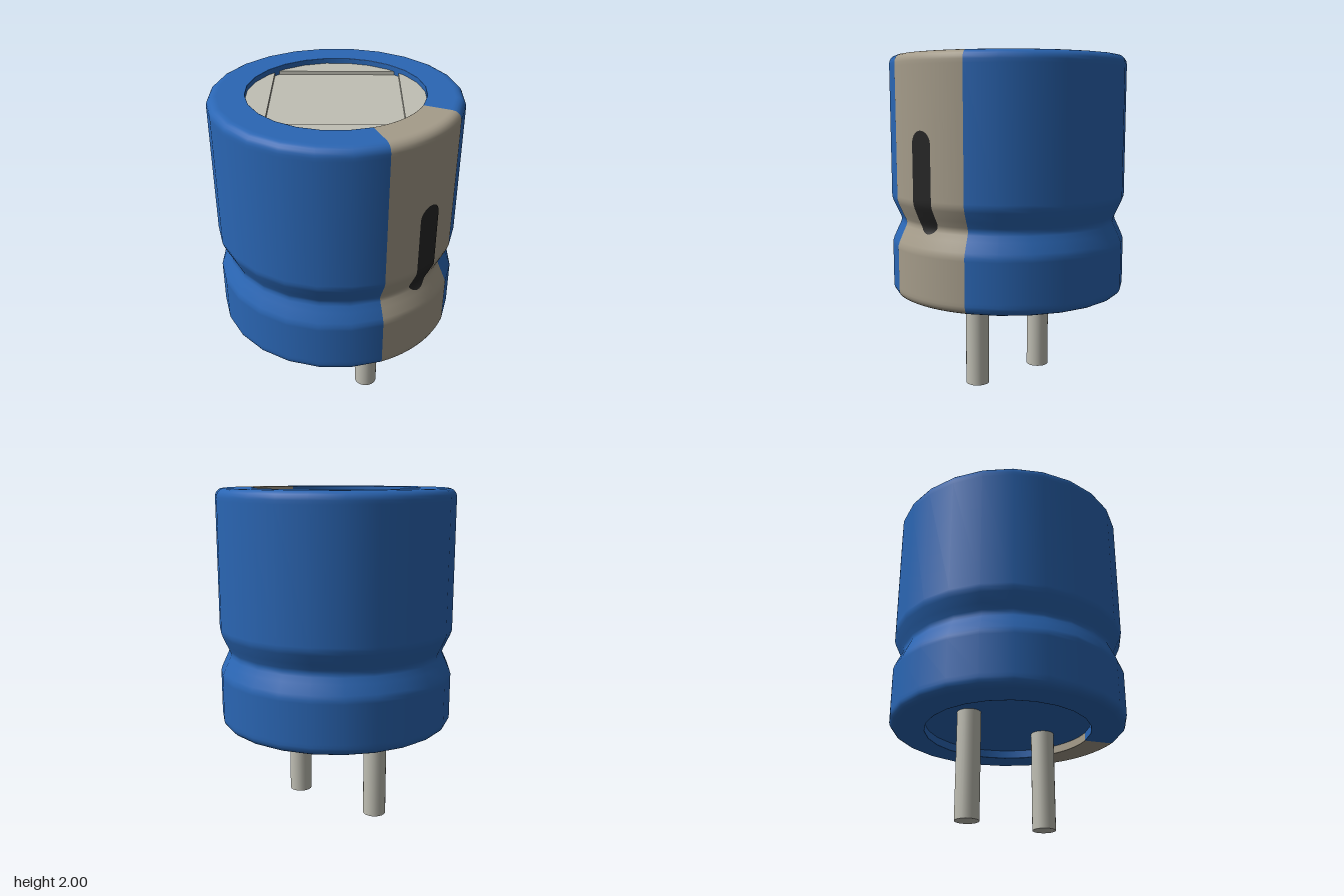
import * as THREE from 'three';

const material = (color, side = THREE.FrontSide) => new THREE.MeshStandardMaterial({ color, side });
const V = (x, y) => new THREE.Vector2(x, y);
const R = 0.71, HOLE = 0.5, BOTTOM = 0.58, TOP = 2, FILLET = 0.05;

// Pinched band around the can, as (radius, height) from bottom to top
const groove = [
  V(R, 0.9), V(0.702, 0.925), V(0.677, 0.98), V(0.66, 1.015), V(0.654, 1.035),
  V(0.66, 1.055), V(0.677, 1.09), V(0.702, 1.145), V(R, 1.17),
];

// Outer radius of the sleeve at a height
function radiusAt(y) {
  for (let i = 1; i < groove.length; i++) {
    const a = groove[i - 1], b = groove[i];
    if (y >= a.y && y <= b.y) return a.x + (b.x - a.x) * (y - a.y) / (b.y - a.y);
  }
  return R;
}

// Sleeve profile: bottom lip, rounded edge, groove, rounded edge, top lip
function sleeveProfile() {
  const pts = [V(HOLE, 0.63), V(HOLE, BOTTOM + 0.003), V(HOLE, BOTTOM), V(HOLE + 0.003, BOTTOM), V(R - FILLET - 0.01, BOTTOM)];
  const corner = (cy, from) => {
    for (let i = 0; i <= 5; i++) {
      const a = from + (i / 5) * Math.PI / 2;
      pts.push(V(R - FILLET + FILLET * Math.cos(a), cy + FILLET * Math.sin(a)));
    }
  };
  corner(BOTTOM + FILLET, -Math.PI / 2);
  pts.push(V(R, 0.65), V(R, 0.88), ...groove, V(R, 1.19), V(R, 1.93));
  corner(TOP - FILLET, 0);
  pts.push(V(R - FILLET - 0.01, TOP), V(HOLE + 0.003, TOP), V(HOLE, TOP), V(HOLE, TOP - 0.003), V(HOLE, 1.95));
  return pts;
}

// Rounded slot bent onto the stripe
function markGeometry() {
  const y0 = 1.0, y1 = 1.575, r = 0.0725, rows = 48;
  const geo = new THREE.PlaneGeometry(2, 1, 8, rows);
  const p = geo.attributes.position;
  for (let i = 0; i < p.count; i++) {
    const t = (1 - Math.cos((p.getY(i) + 0.5) * Math.PI)) / 2;
    const y = y0 + (y1 - y0) * t;
    const d = Math.max(y0 + r - y, y - (y1 - r), 0);
    const z = -p.getX(i) * Math.sqrt(Math.max(r * r - d * d, 0));
    const rad = radiusAt(y) + 0.003;
    p.setXYZ(i, Math.sqrt(rad * rad - z * z), y, z);
  }
  geo.computeVertexNormals();
  return geo;
}

export function createModel() {
  const group = new THREE.Group();
  const blue = material(0x2a66b4, THREE.DoubleSide);
  const tan = material(0xa59c8a, THREE.DoubleSide);
  const metal = material(0xc0bfb4);
  const dark = material(0x262626, THREE.DoubleSide);

  const add = (name, geo, mat, x = 0, y = 0, z = 0) => {
    const mesh = new THREE.Mesh(geo, mat);
    mesh.name = name;
    mesh.position.set(x, y, z);
    group.add(mesh);
    return mesh;
  };

  // Sleeve and its contrasting stripe on the +x side
  const profile = sleeveProfile();
  const deg = Math.PI / 180;
  add('sleeve', new THREE.LatheGeometry(profile, 21, 112.5 * deg, 315 * deg), blue);
  add('polarityStripe', new THREE.LatheGeometry(profile, 12, 67.5 * deg, 45 * deg), tan);
  add('minusMark', markGeometry(), dark);

  // Recessed underside
  add('base', new THREE.CylinderGeometry(HOLE, HOLE, 0.02, 48), blue, 0, 0.64);

  // Recessed metal lid: floor plus four quarters that leave a cross-shaped score
  add('lidFloor', new THREE.CylinderGeometry(HOLE, HOLE, 0.02, 48), metal, 0, 1.94);
  const g = 0.014, a = Math.asin(g / HOLE);
  const quarter = new THREE.Shape();
  quarter.moveTo(g, g);
  quarter.absarc(0, 0, HOLE, a, Math.PI / 2 - a, false);
  quarter.closePath();
  const quarterGeo = new THREE.ExtrudeGeometry(quarter, { depth: 0.02, bevelEnabled: false, curveSegments: 14 });
  quarterGeo.rotateX(-Math.PI / 2);
  for (let i = 0; i < 4; i++) {
    add('lidQuarter', quarterGeo, metal, 0, 1.95).rotation.y = i * Math.PI / 2;
  }

  // Leads, one slightly longer
  for (const [name, x, y] of [['longLead', -0.292, 0], ['shortLead', 0.28, 0.03]]) {
    const h = 0.64 - y;
    add(name, new THREE.CylinderGeometry(0.07, 0.07, h, 24), metal, x, y + h / 2);
  }
  return group;
}
